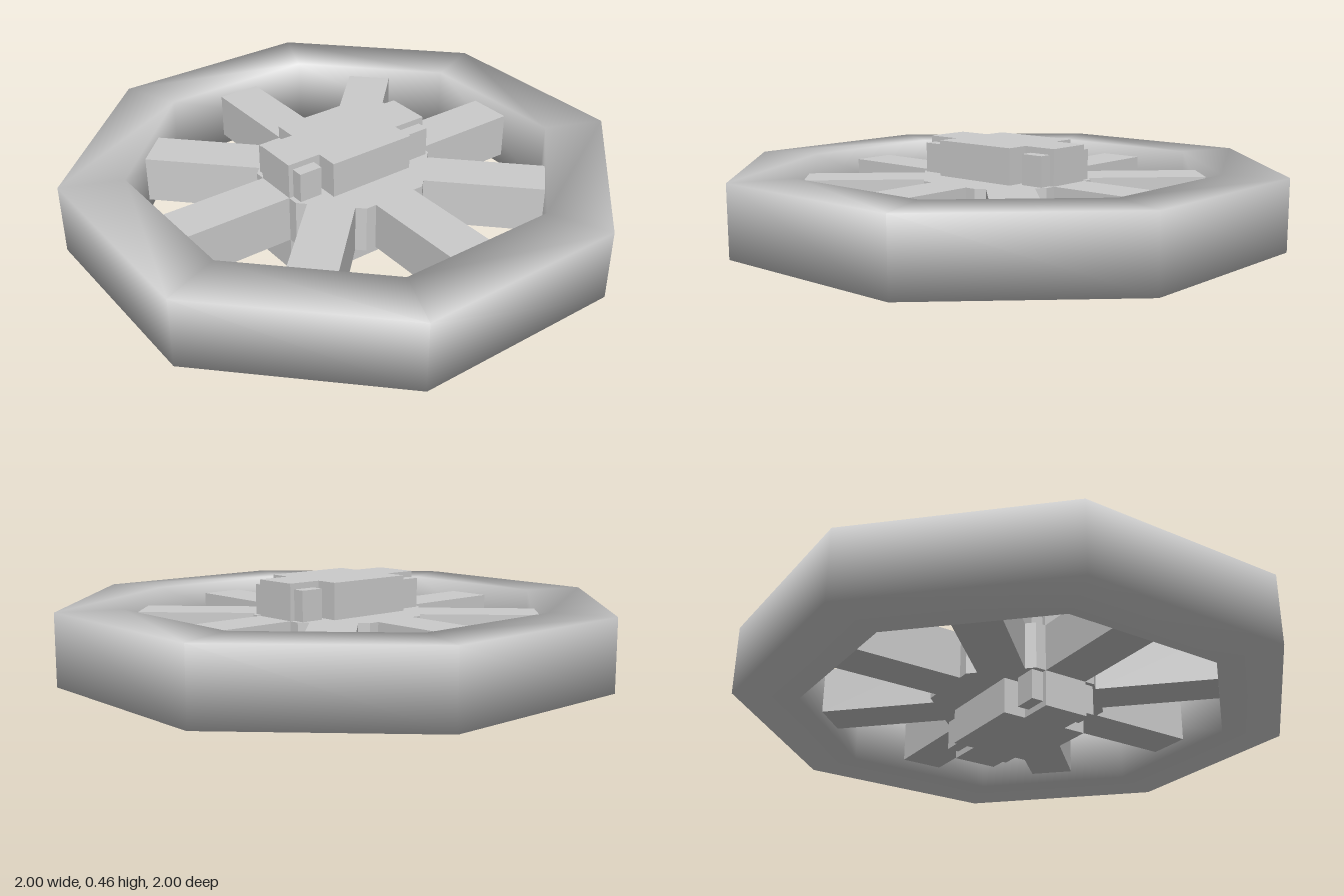
import * as THREE from 'three';
import { mergeVertices } from 'three/addons/utils/BufferGeometryUtils.js';

const MID = 0.2315; // height of the wheel's middle plane

export function createModel() {
  const model = new THREE.Group();
  model.name = 'spokedWheel';
  const smooth = new THREE.MeshStandardMaterial({ color: 0xcccccc });
  const flat = new THREE.MeshStandardMaterial({ color: 0xcccccc, flatShading: true });

  const add = (name, geometry, material, x = 0, z = 0, turn = 0) => {
    const mesh = new THREE.Mesh(geometry, material);
    mesh.name = name;
    mesh.position.set(x, MID, z);
    mesh.rotation.y = turn;
    model.add(mesh);
  };

  // Octagonal rim: a rectangular section with normals blended over its corners
  const corner = 1 / Math.cos(Math.PI / 8);
  const outer = corner, inner = 0.773 * corner, half = 0.137;
  const section = [[outer, -half], [outer, half], [inner, half], [inner, -half], [outer, -half]]
    .map(([r, y]) => new THREE.Vector2(r, y));
  let rim = new THREE.LatheGeometry(section, 8, Math.PI / 8);
  rim.deleteAttribute('normal');
  rim.deleteAttribute('uv');
  rim = mergeVertices(rim, 1e-4);
  rim.computeVertexNormals();
  add('rim', rim, smooth);

  // Octagonal hub, flush with the spokes
  const thick = 0.185;
  add('hub', new THREE.CylinderGeometry(0.317 * corner, 0.317 * corner, thick, 8, 1, false, Math.PI / 8), flat);

  // Eight square spokes
  for (let i = 0; i < 8; i++) {
    const a = i * Math.PI / 4, from = 0.31, to = 0.774, r = (from + to) / 2;
    add('spoke', new THREE.BoxGeometry(to - from, thick, 0.178), flat,
      Math.cos(a) * r, -Math.sin(a) * r, a);
  }

  // Cross-shaped centre block through the hub
  const cross = new THREE.Shape([
    [0.18, -0.18], [0.18, -0.09], [0.317, -0.09], [0.317, 0.09], [0.18, 0.09], [0.18, 0.18],
    [-0.18, 0.18], [-0.18, 0.09], [-0.317, 0.09], [-0.317, -0.09], [-0.18, -0.09], [-0.18, -0.18],
  ].map(([x, y]) => new THREE.Vector2(x, y)));
  const block = new THREE.ExtrudeGeometry(cross, { depth: 2 * MID, bevelEnabled: false });
  block.rotateX(-Math.PI / 2).translate(0, -MID, 0);
  add('centreBlock', block, flat);

  // Small lugs on the sides of the block's arms
  for (const sx of [-1, 1]) for (const sz of [-1, 1]) {
    add('lug', new THREE.BoxGeometry(0.093, 0.417, 0.06), flat, sx * 0.252, sz * 0.108);
  }

  return model;
}
